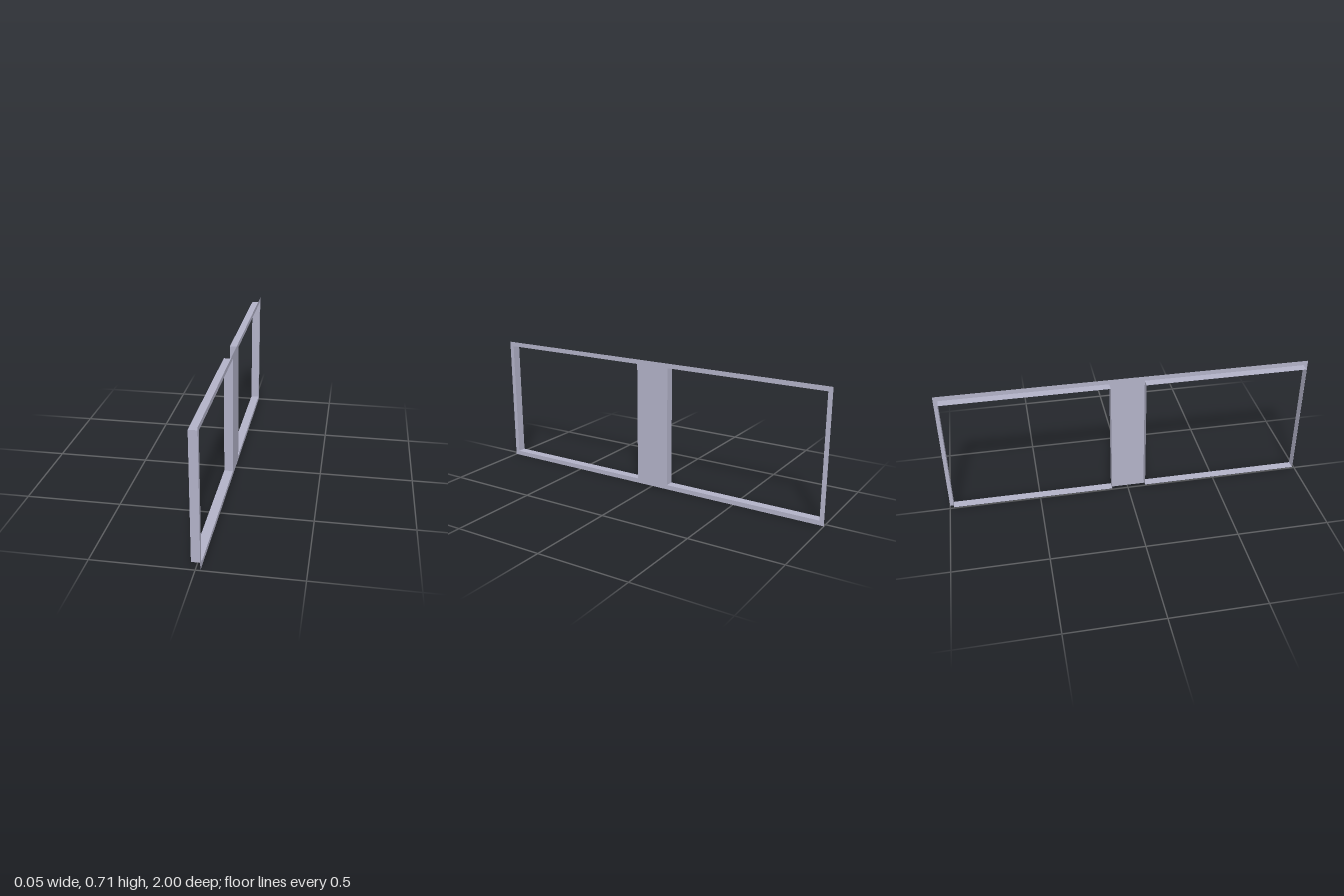
import * as THREE from 'three';

const HEIGHT = 0.709, HALF_LENGTH = 1, HALF_DEPTH = 0.024;
const OPENING = { inner: 0.095, outer: 0.976, bottom: 0.025, top: 0.684 };

export function createModel() {
  const model = new THREE.Group();
  model.name = 'doubleWindowFrame';
  const paint = new THREE.MeshStandardMaterial({ color: 0xb2b2c8, side: THREE.DoubleSide });
  paint.name = 'greyLilac';

  const width = OPENING.outer - OPENING.inner;
  const height = OPENING.top - OPENING.bottom;
  const midY = (OPENING.top + OPENING.bottom) / 2;

  const rectangle = (Type, x0, y0, x1, y1) => new Type([
    new THREE.Vector2(x0, y0), new THREE.Vector2(x1, y0),
    new THREE.Vector2(x1, y1), new THREE.Vector2(x0, y1),
  ]);

  // Flat sheet with two openings, on the +x side
  const outline = rectangle(THREE.Shape, -HALF_LENGTH, 0, HALF_LENGTH, HEIGHT);
  for (const side of [-1, 1]) {
    outline.holes.push(rectangle(THREE.Path,
      side * OPENING.inner, OPENING.bottom, side * OPENING.outer, OPENING.top));
  }
  const plate = new THREE.Mesh(new THREE.ShapeGeometry(outline), paint);
  plate.name = 'facePlate';
  plate.rotation.y = Math.PI / 2;
  plate.position.x = HALF_DEPTH;
  model.add(plate);

  // Thin sleeve lining each opening
  for (const side of [-1, 1]) {
    const sleeve = new THREE.Group();
    sleeve.name = side > 0 ? 'frontSleeve' : 'backSleeve';
    sleeve.position.set(0, midY, side * (OPENING.inner + OPENING.outer) / 2);
    for (const end of [-1, 1]) {
      const jamb = new THREE.Mesh(new THREE.PlaneGeometry(2 * HALF_DEPTH, height), paint);
      jamb.name = 'jamb';
      jamb.position.z = end * width / 2;
      if (end < 0) jamb.rotation.y = Math.PI;

      const rail = new THREE.Mesh(new THREE.PlaneGeometry(2 * HALF_DEPTH, width), paint);
      rail.name = end > 0 ? 'topRail' : 'bottomRail';
      rail.position.y = end * height / 2;
      rail.rotation.x = -end * Math.PI / 2;
      sleeve.add(jamb, rail);
    }
    model.add(sleeve);
  }
  return model;
}
